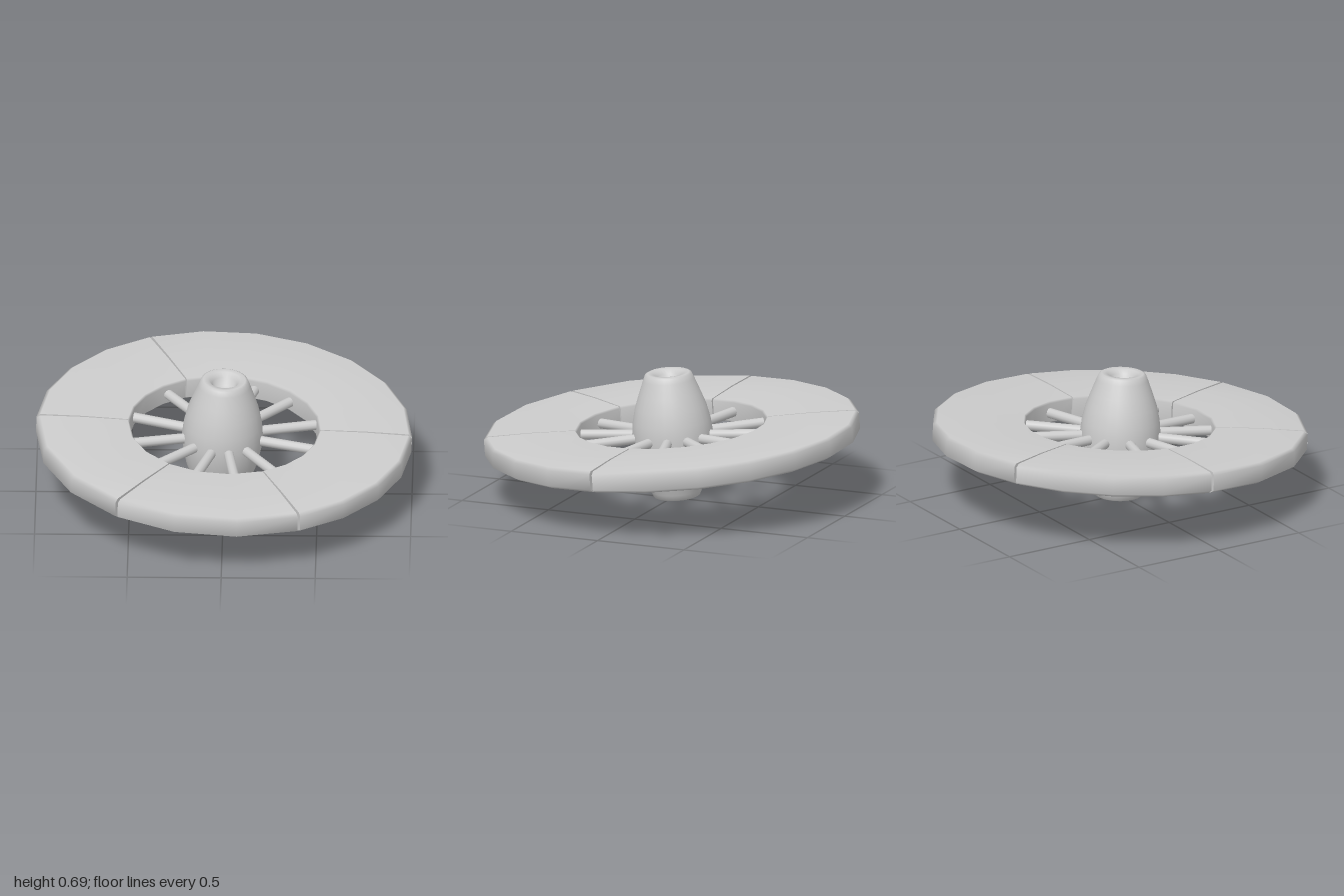
import * as THREE from 'three';

const material = new THREE.MeshStandardMaterial({ color: 0xcccccc });
const rad = THREE.MathUtils.degToRad;

// Rim cross-section as [radius, height], running around the section
const SECTION = [
  [0.505, -0.05], [0.515, -0.058], [0.75, -0.064], [0.965, -0.06], [1.0, -0.04],
  [1.0, 0.045], [0.98, 0.06], [0.75, 0.064], [0.515, 0.06], [0.505, 0.05],
];

// Sweeps the section from one angle to another and closes both ends
function segmentGeometry(from, to, steps) {
  const n = SECTION.length, pos = [], index = [];
  const ring = (a) => SECTION.forEach(([r, y]) => pos.push(r * Math.cos(a), y, r * Math.sin(a)));
  for (let i = 0; i <= steps; i++) ring(from + (to - from) * i / steps);
  for (let i = 0; i < steps; i++) {
    for (let j = 0; j < n; j++) {
      const a = i * n + j, b = i * n + (j + 1) % n;
      index.push(a, b, a + n, b, b + n, a + n);
    }
  }
  // End caps use their own corners so that their edges stay sharp
  for (const [angle, start] of [[from, true], [to, false]]) {
    const base = pos.length / 3;
    ring(angle);
    for (let j = 1; j < n - 1; j++) {
      if (start) index.push(base, base + j + 1, base + j);
      else index.push(base, base + j, base + j + 1);
    }
  }
  const geometry = new THREE.BufferGeometry();
  geometry.setAttribute('position', new THREE.Float32BufferAttribute(pos, 3));
  geometry.setIndex(index);
  geometry.computeVertexNormals();
  return geometry;
}

export function createModel() {
  const model = new THREE.Group();
  const wheel = new THREE.Group();
  wheel.name = 'wheel';
  model.add(wheel);

  const add = (geometry, name, parent = wheel) => {
    const mesh = new THREE.Mesh(geometry, material);
    mesh.name = name;
    parent.add(mesh);
    return mesh;
  };

  // Rim: five curved wooden segments with narrow gaps
  const rim = new THREE.Group();
  rim.name = 'rim';
  wheel.add(rim);
  const seams = [2.3, 65.7, 124, 182.3, 245.7, 362.3];
  for (let i = 0; i < 5; i++) {
    const steps = Math.round((seams[i + 1] - seams[i]) / 17);
    add(segmentGeometry(rad(seams[i] + 0.4), rad(seams[i + 1] - 0.4), steps), 'rimSegment', rim);
  }

  // Spokes: round rods from the hub into the rim, slightly unevenly spaced
  const spokes = new THREE.Group();
  spokes.name = 'spokes';
  wheel.add(spokes);
  for (const angle of [-99, -72, -46.6, -15.6, 14.6, 54, 82, 108, 136, 166, 197, 233]) {
    const geometry = new THREE.CylinderGeometry(0.027, 0.027, 0.41, 12);
    geometry.rotateZ(-Math.PI / 2).translate(0.325, 0, 0).rotateY(-rad(angle));
    add(geometry, 'spoke', spokes);
  }

  // Hub: barrel with a funnel-shaped axle hole at each end
  const half = [
    [0, 0.27], [0.045, 0.275], [0.065, 0.315], [0.085, 0.337], [0.112, 0.34],
    [0.125, 0.333], [0.137, 0.305], [0.165, 0.23], [0.19, 0.16], [0.208, 0.08],
  ];
  const profile = [
    ...half.map(([r, y]) => new THREE.Vector2(r, -y)),
    new THREE.Vector2(0.216, 0),
    ...half.slice().reverse().map(([r, y]) => new THREE.Vector2(r, y)),
  ];
  add(new THREE.LatheGeometry(profile, 28), 'hub').position.x = -0.008;

  // The wheel lies flat with a slight tilt
  wheel.rotation.set(0.063, 0, -0.033);
  wheel.position.y = 0.35;
  return model;
}
